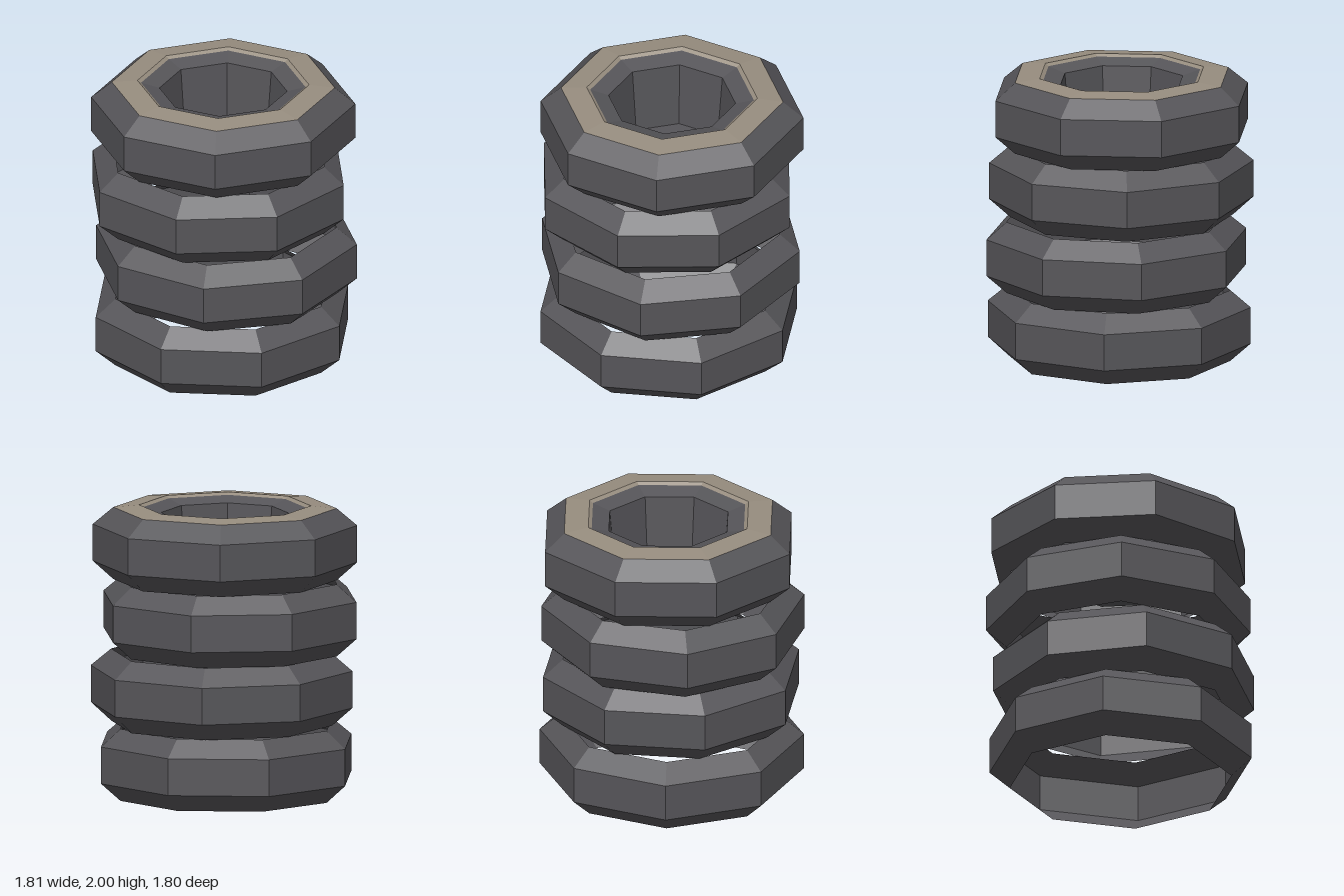
import * as THREE from 'three';

const rubber = new THREE.MeshStandardMaterial({ color: 0x565559, flatShading: true, side: THREE.DoubleSide });
rubber.name = 'dark rubber';
const dust = new THREE.MeshStandardMaterial({ color: 0x978d7f, flatShading: true, side: THREE.DoubleSide });
dust.name = 'dusty beige';

// Eight-sided turned surface; angle is the direction of a corner in degrees, from +x towards +z
function octagonal(name, profile, angle, material) {
  const points = profile.map(([r, y]) => new THREE.Vector2(r, y));
  const geometry = new THREE.LatheGeometry(points, 8, THREE.MathUtils.degToRad(90 - angle));
  const mesh = new THREE.Mesh(geometry, material);
  mesh.name = name;
  return mesh;
}

export function createModel() {
  const model = new THREE.Group();
  model.name = 'tyreStack';

  // Each tyre: centre x, centre z, corner angle
  const tyres = [
    [0.003, 0, 0],
    [0.03, 0.017, 72.5],
    [-0.02, -0.012, 81],
    [0.018, -0.018, 66],
  ];
  const tread = [[0.76, 0], [0.9, 0.125], [0.9, 0.378], [0.76, 0.495]];

  tyres.forEach(([x, z, angle], i) => {
    const tyre = new THREE.Group();
    tyre.name = `tyre${i + 1}`;
    tyre.position.set(x, i * 0.496, z);
    tyre.add(octagonal('tread', tread, angle, rubber));

    // Only the top tyre has a sidewall and a visible well
    if (i === tyres.length - 1) {
      tyre.add(octagonal('sidewall', [[0.76, 0.495], [0.585, 0.512], [0.56, 0.495]], angle, dust));
      tyre.add(octagonal('innerRim', [[0.56, 0.495], [0.435, 0.46]], angle, rubber));
      tyre.add(octagonal('well', [[0.435, 0.46], [0.395, 0.01], [0, 0.01]], angle, rubber));
    }
    model.add(tyre);
  });

  return model;
}
